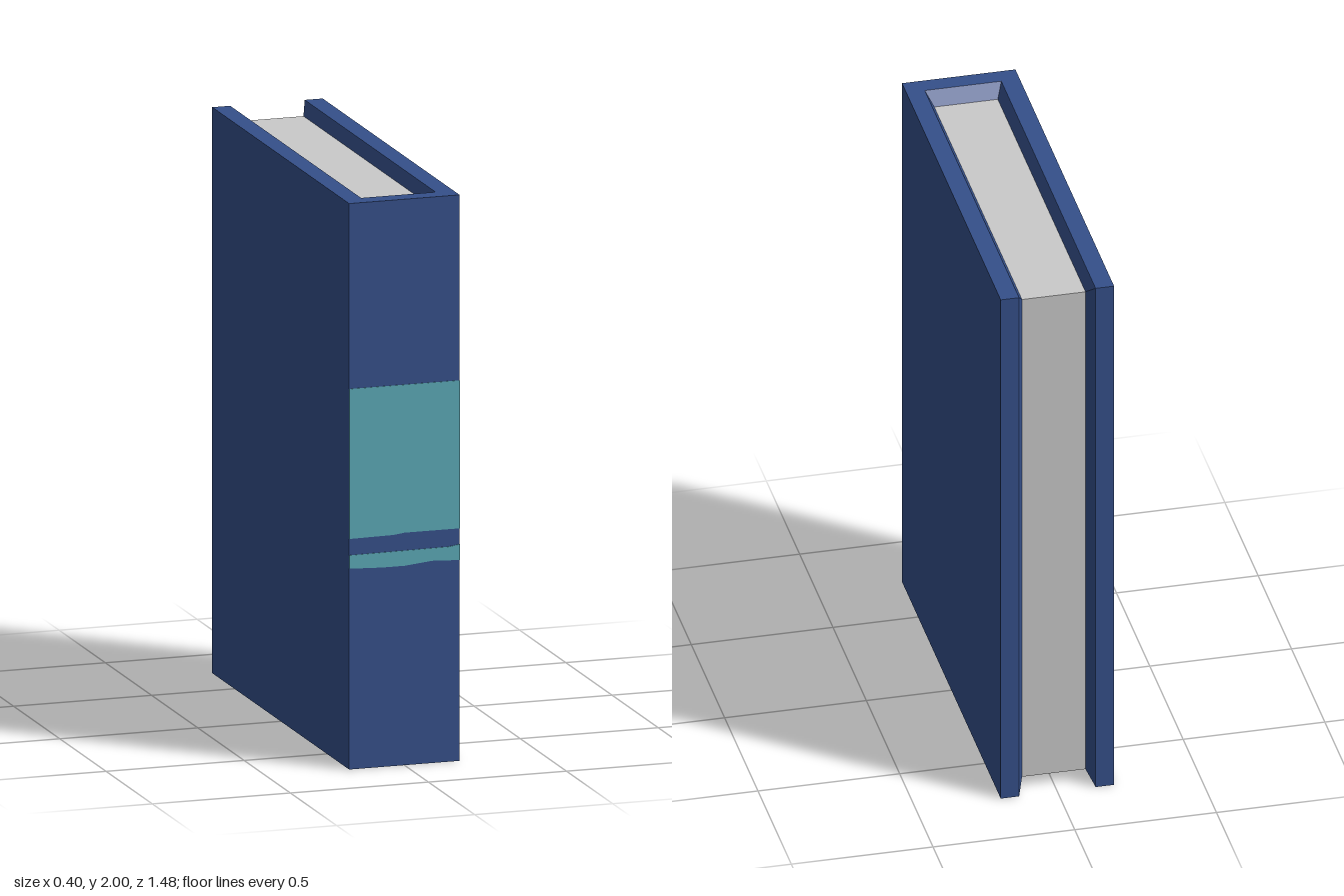
import * as THREE from 'three';

const H = 2, W = 0.2, D = 0.74;            // cover half width and half depth
const RX = 0.135, RZ = 0.675;              // inner edge of the cover rim
const PX = 0.112, PF = 0.63, PB = -0.685;  // page block half width, front, back
const DROP = 0.043;                        // pages sit this far inside top and bottom

export function createModel() {
  const book = new THREE.Group();
  book.name = 'book';
  const blue = new THREE.MeshStandardMaterial({ name: 'cover blue', color: 0x35508a });
  const teal = new THREE.MeshStandardMaterial({ name: 'band teal', color: 0x5ba9b7 });
  const paper = new THREE.MeshStandardMaterial({ name: 'paper grey', color: 0xcacaca });

  const add = (name, geometry, material) => {
    const mesh = new THREE.Mesh(geometry, material);
    mesh.name = name;
    book.add(mesh);
    return mesh;
  };
  const outline = (pts) => new THREE.Shape(pts.map(([x, y]) => new THREE.Vector2(x, y)));

  // Two boards and spine: a U outline extruded upwards (shape y becomes -z)
  const u = outline([[-W, -D], [W, -D], [W, D], [RX, D], [RX, -RZ], [-RX, -RZ], [-RX, D], [-W, D]]);
  const cover = new THREE.ExtrudeGeometry(u, { depth: H, bevelEnabled: false });
  add('cover', cover.rotateX(-Math.PI / 2), blue);

  // Sloped linings between the cover and the pages: boxes tapered towards the pages
  const taper = (geometry, isInner, place) => {
    const p = geometry.attributes.position;
    for (let i = 0; i < p.count; i++) {
      const s = [p.getX(i), p.getY(i), p.getZ(i)].map(Math.sign);
      p.setXYZ(i, ...place(s, isInner(s)));
    }
    const flat = geometry.toNonIndexed();
    flat.computeVertexNormals();
    return flat;
  };
  const height = (s, inner) => (s > 0 ? H - (inner ? DROP : 0) : (inner ? DROP : 0));

  for (const side of [-1, 1]) {
    add(side > 0 ? 'leftLining' : 'rightLining', taper(
      new THREE.BoxGeometry(1, 1, 1),
      (s) => s[0] !== side,
      (s, inner) => [
        side * (inner ? PX : RX),
        height(s[1], inner),
        s[2] > 0 ? (inner ? PF : RZ) : (inner ? PB : -D),
      ]), blue);
  }
  add('spineLining', taper(
    new THREE.BoxGeometry(1, 1, 1),
    (s) => s[2] < 0,
    (s, inner) => [s[0] * (inner ? PX : RX), height(s[1], inner), inner ? PF : RZ]), blue);

  // Page block
  const pages = add('pages', new THREE.BoxGeometry(PX * 2, H - DROP * 2, PF - PB), paper);
  pages.position.set(0, H / 2, (PF + PB) / 2);

  // Painted bands across the spine, with slightly uneven edges
  const band = (name, pts) => {
    const geometry = new THREE.ExtrudeGeometry(outline(pts), { depth: 0.002, bevelEnabled: false });
    add(name, geometry, teal).position.z = D;
  };
  band('wideBand', [[-W, 0.815], [-0.04, 0.817], [0, 0.822], [W, 0.822], [W, 1.345], [-W, 1.345]]);
  band('narrowBand', [[-W, 0.71], [-0.08, 0.705], [0, 0.705], [0.1, 0.715], [W, 0.71],
    [W, 0.766], [0.16, 0.76], [-W, 0.757]]);

  return book;
}
